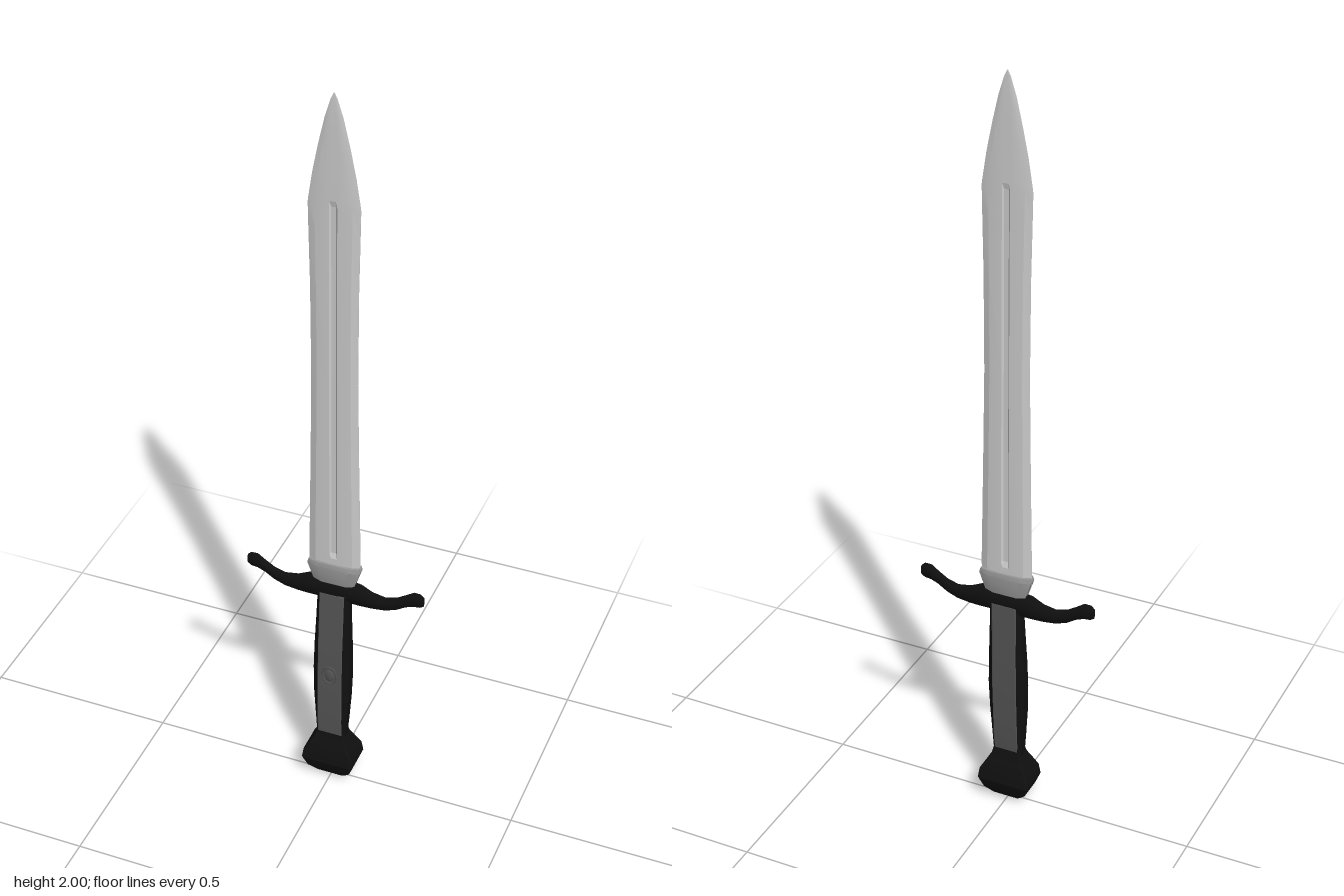
import * as THREE from 'three';
import { toCreasedNormals } from 'three/addons/utils/BufferGeometryUtils.js';

const mat = (color) => new THREE.MeshStandardMaterial({ color });
const steel = mat(0xcccccc), collarSteel = mat(0x999999), panelGrey = mat(0x555555), black = mat(0x101010);

// Skins equal-length rings of [x, y, z] points and caps both ends.
function loft(name, rings, material, crease = 0.5) {
  const n = rings[0].length, pos = [], idx = [];
  rings.forEach((r) => r.forEach((p) => pos.push(...p)));
  for (let i = 0; i < rings.length - 1; i++) {
    for (let j = 0; j < n; j++) {
      const a = i * n + j, b = i * n + (j + 1) % n;
      idx.push(a, b, a + n, b, b + n, a + n);
    }
  }
  [0, rings.length - 1].forEach((k) => {
    const c = pos.length / 3;
    for (let t = 0; t < 3; t++) pos.push(rings[k].reduce((s, p) => s + p[t], 0) / n);
    for (let j = 0; j < n; j++) {
      const a = k * n + j, b = k * n + (j + 1) % n;
      idx.push(c, ...(k ? [a, b] : [b, a]));
    }
  });
  const g = new THREE.BufferGeometry();
  g.setAttribute('position', new THREE.Float32BufferAttribute(pos, 3));
  g.setIndex(idx);
  const mesh = new THREE.Mesh(toCreasedNormals(g, crease), material);
  mesh.name = name;
  return mesh;
}

// Completes a quarter outline [x, z] (side to front) into a full ring at height y.
function ring(quarter, y, cz) {
  const back = quarter.map(([x, z]) => [x, y, cz - z]);
  const backLeft = quarter.map(([x, z]) => [-x, y, cz - z]).reverse();
  const frontLeft = quarter.map(([x, z]) => [-x, y, cz + z]);
  const front = quarter.map(([x, z]) => [x, y, cz + z]).reverse();
  return [...back, ...backLeft, ...frontLeft, ...front];
}

export function createModel() {
  const group = new THREE.Group();

  // Blade: y, half width, half thickness, fuller depth (share of thickness)
  const bladeRows = [
    [0.68, 0.068, 0.012, 0], [0.72, 0.068, 0.012, 0], [0.735, 0.068, 0.012, 0.45],
    [1.0, 0.063, 0.011, 0.45], [1.25, 0.059, 0.01, 0.45], [1.5, 0.06, 0.009, 0.45],
    [1.66, 0.063, 0.008, 0.45], [1.72, 0.064, 0.007, 0.45], [1.735, 0.062, 0.007, 0],
    [1.8, 0.052, 0.006, 0], [1.87, 0.038, 0.005, 0], [1.94, 0.022, 0.004, 0],
    [1.985, 0.008, 0.002, 0], [2.0, 0.001, 0.001, 0],
  ];
  group.add(loft('blade', bladeRows.map(([y, w, t, f]) => {
    const lip = Math.min(0.01, w * 0.3);
    return ring([[w, 0.001], [w * 0.72, t * 0.75], [lip, t], [lip * 0.6, t * (1 - f)]],
      y, -0.016 + (y - 0.7) * 0.005);
  }), steel, 0.2));

  // Collar at the root of the blade
  group.add(loft('bladeCollar', [
    [0.64, 0.054, 0.014], [0.66, 0.06, 0.017], [0.69, 0.07, 0.019], [0.702, 0.067, 0.017],
  ].map(([y, w, d]) => ring([[w, d * 0.6], [w * 0.6, d]], y, -0.016)), collarSteel, 0.3));

  // Crossguard: x, centre y, half height, half depth
  const half = [
    [0.035, 0.618, 0.033, 0.019], [0.07, 0.615, 0.031, 0.017], [0.1, 0.608, 0.024, 0.012],
    [0.135, 0.607, 0.019, 0.01], [0.165, 0.617, 0.018, 0.009], [0.19, 0.633, 0.018, 0.008],
    [0.21, 0.644, 0.021, 0.008], [0.228, 0.645, 0.02, 0.007], [0.237, 0.644, 0.013, 0.005],
  ];
  const guardRows = [...half.map(([x, ...r]) => [-x, ...r]).reverse(), ...half];
  group.add(loft('crossguard', guardRows.map(([x, cy, h, d]) =>
    Array.from({ length: 10 }, (_, i) => {
      const a = (i + 0.5) / 10 * Math.PI * 2;
      return [x, cy + h * 1.04 * Math.cos(a), -0.016 + d * 1.0 * Math.sin(a)];
    })), black, 0.8));

  // Grip: y, half width, half depth, centre z
  const gripRows = [
    [0.13, 0.038, 0.02, 0.001], [0.2, 0.043, 0.024, -0.001], [0.28, 0.048, 0.026, -0.003],
    [0.36, 0.05, 0.027, -0.006], [0.44, 0.048, 0.026, -0.008], [0.52, 0.045, 0.023, -0.011],
    [0.61, 0.042, 0.02, -0.014],
  ];
  group.add(loft('grip', gripRows.map(([y, w, d, cz]) =>
    ring([[w, d * 0.45], [0.034, d * 0.95]], y, cz)), black, 0.4));

  // Inlaid panels on both faces of the grip
  for (const s of [1, -1]) {
    group.add(loft(s > 0 ? 'frontGripPanel' : 'backGripPanel', gripRows.map(([y, w, d, cz], i) =>
      ring([[0.033, 0.002], [0.031, 0.003]], i ? y : 0.155, cz + s * (d - 0.002))), panelGrey, 0.4));
  }

  // Oval medallion on the front panel
  const medallion = new THREE.Group();
  medallion.name = 'gripMedallion';
  const rim = new THREE.Mesh(new THREE.TorusGeometry(0.019, 0.0025, 6, 28), panelGrey);
  rim.name = 'medallionRim';
  const boss = new THREE.Mesh(new THREE.SphereGeometry(0.013, 20, 10), panelGrey);
  boss.name = 'medallionBoss';
  boss.scale.z = 0.25;
  medallion.add(rim, boss);
  medallion.position.set(0, 0.355, 0.022);
  medallion.scale.y = 1.4;
  group.add(medallion);

  // Pommel: square-cornered bulb, wide from the front and slimmer from the side
  group.add(loft('pommel', [
    [0, 0.008, 0.006], [0.012, 0.036, 0.022], [0.035, 0.059, 0.037], [0.065, 0.071, 0.046],
    [0.092, 0.067, 0.043], [0.122, 0.05, 0.032], [0.14, 0.04, 0.024], [0.158, 0.036, 0.02],
  ].map(([y, w, d]) => ring([[w, d * 0.9], [w * 0.95, d]], y, -0.001)), black, 0.4));

  return group;
}
